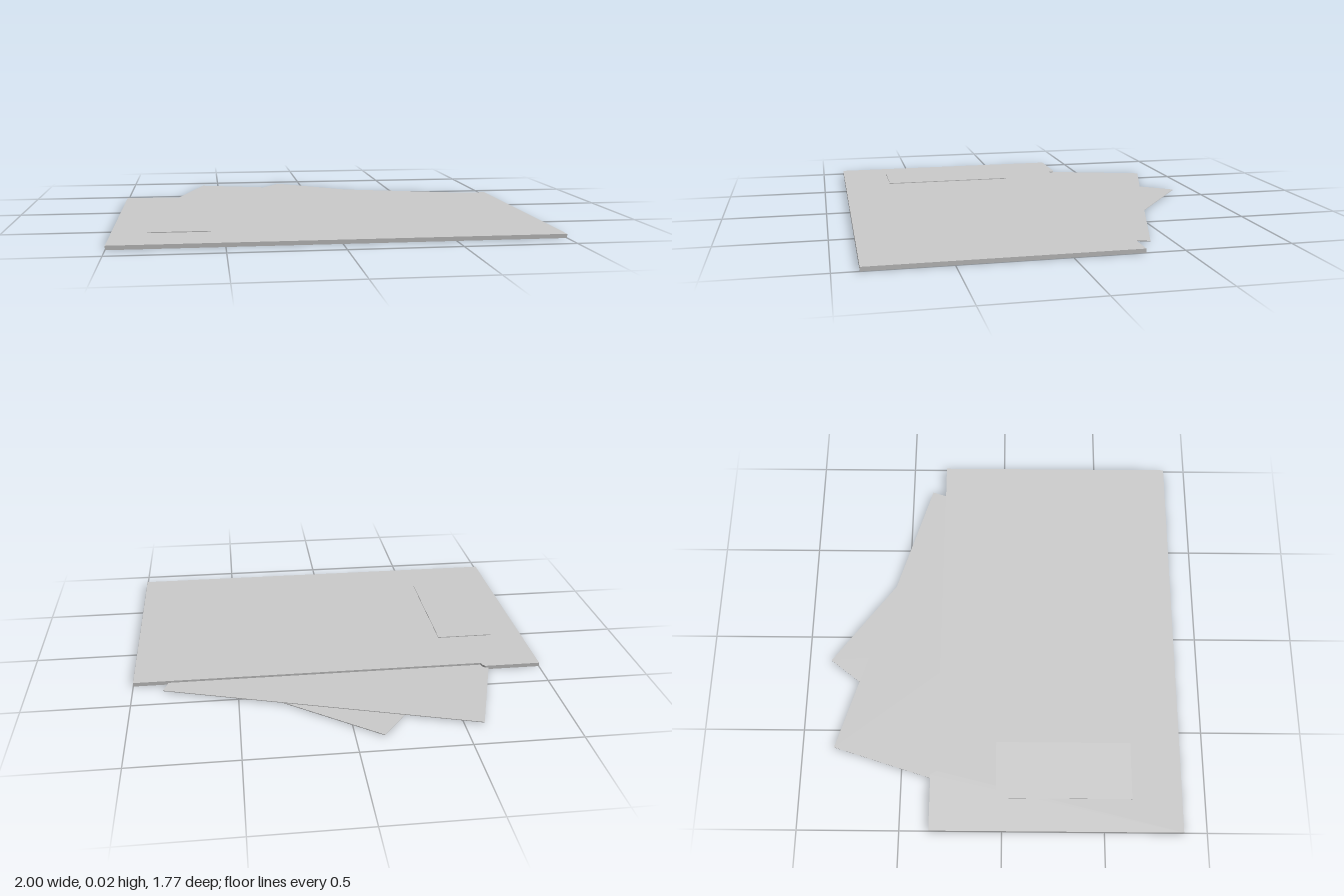
import * as THREE from 'three';

const material = new THREE.MeshStandardMaterial({ color: 0xcccccc, flatShading: true });

// Flat slab from an outline of [x, z] corners, lying between two heights
function slab(name, corners, bottom, top) {
  const shape = new THREE.Shape(corners.map(([x, z]) => new THREE.Vector2(x, -z)));
  const geometry = new THREE.ExtrudeGeometry(shape, { depth: top - bottom, bevelEnabled: false });
  geometry.rotateX(-Math.PI / 2).translate(0, bottom, 0);
  const mesh = new THREE.Mesh(geometry, material);
  mesh.name = name;
  return mesh;
}

// Rectangular sheet from its back corner, turned clockwise as seen from above
function sheet(name, x, z, angle, width, length, bottom, top) {
  const c = Math.cos(angle), s = Math.sin(angle);
  const at = (u, v) => [x + u * c - v * s, z + u * s + v * c];
  return slab(name, [at(0, 0), at(0, length), at(width, length), at(width, 0)], bottom, top);
}

export function createModel() {
  const group = new THREE.Group();
  group.name = 'folderWithPapers';

  // Folder body with the index tab on its back edge
  group.add(slab('folder', [
    [-1, 0.885], [1, 0.885], [1, -0.322], [-0.708, -0.322],
    [-0.714, -0.342], [-0.725, -0.355], [-1, -0.355],
  ], 0, 0.019));

  // Raised label on the cover
  group.add(slab('label', [[-0.84, 0.64], [-0.56, 0.64], [-0.56, -0.03], [-0.84, -0.03]], 0.019, 0.023));

  // Loose papers sticking out at the back
  group.add(sheet('upperPaper', -0.59, -0.843, 0.302, 1.513, 1.07, 0.006, 0.009));
  group.add(sheet('lowerPaper', -0.13, -0.888, 0.651, 1.07, 1.2, 0.003, 0.006));

  return group;
}
